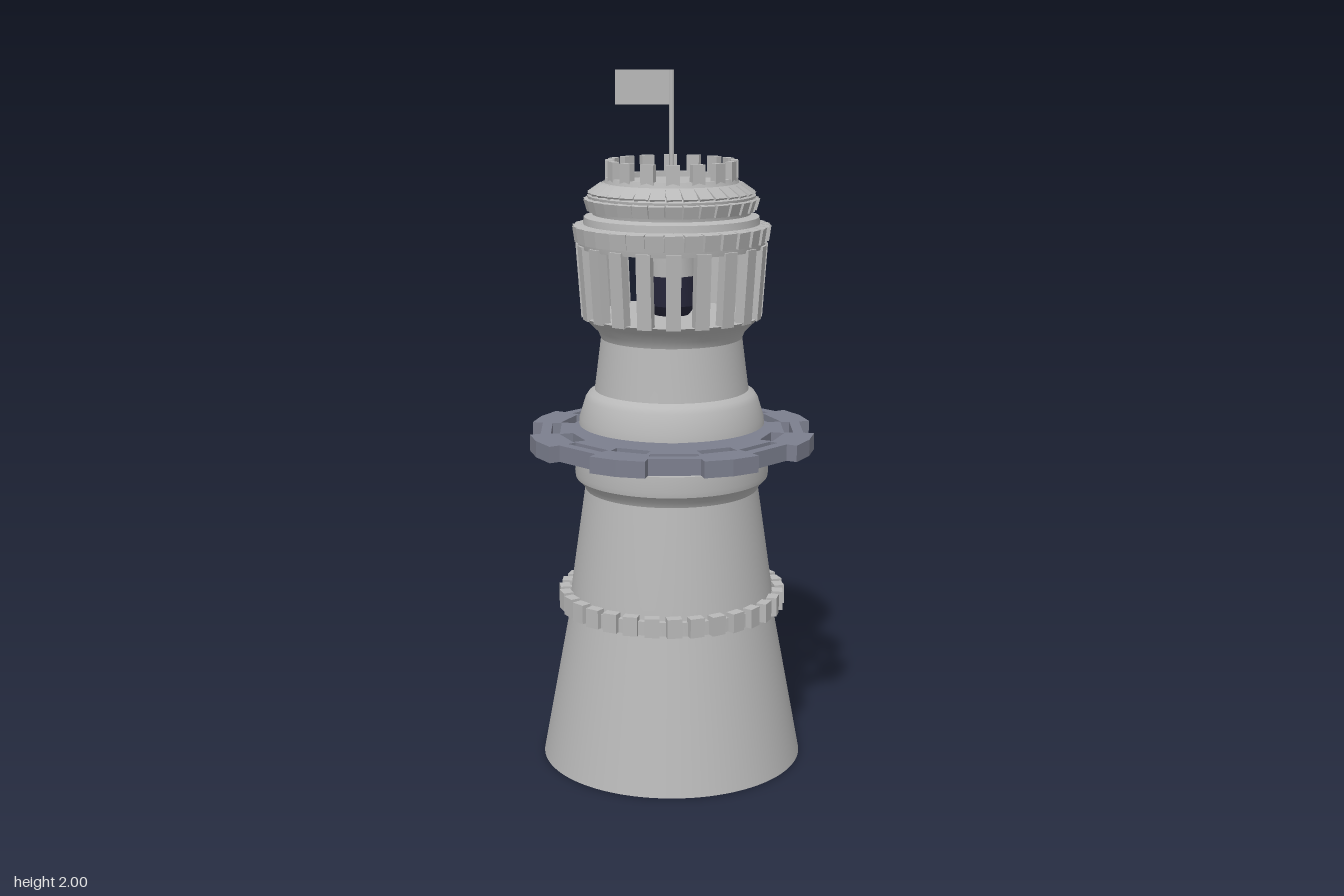
import * as THREE from 'three';
import { toCreasedNormals } from 'three/addons/utils/BufferGeometryUtils.js';

const mat = (name, color, extra = {}) => {
  const m = new THREE.MeshStandardMaterial({ color, ...extra });
  m.name = name;
  return m;
};

export function createModel() {
  const stone = mat('stone grey', 0xb8b8b8, { side: THREE.DoubleSide });
  const steel = mat('blue grey steel', 0x7c7f8e);
  const dark = mat('dark navy', 0x26263a);
  const root = new THREE.Group();
  root.name = 'tower';

  const add = (name, geo, material = stone, parent = root) => {
    const m = new THREE.Mesh(geo, material);
    m.name = name;
    parent.add(m);
    return m;
  };
  const lathe = (name, pts, material = stone, seg = 64) => add(name, toCreasedNormals(
    new THREE.LatheGeometry(pts.map(p => new THREE.Vector2(...p)), seg), 0.5), material);

  // Ring of n boxes; tilt leans them outward, yaw gives a saw-tooth edge
  const ring = (name, n, r, y, [w, h, d], { tilt = 0, yaw = 0, start = 0 } = {}) => {
    const g = new THREE.Group();
    g.name = name;
    const geo = new THREE.BoxGeometry(w, h, d);
    for (let i = 0; i < n; i++) {
      const a = start + i / n * Math.PI * 2;
      const m = add(name + 'Block', geo, stone, g);
      m.position.set(Math.sin(a) * r, y, Math.cos(a) * r);
      m.rotation.set(tilt, a + yaw, 0, 'YXZ');
    }
    root.add(g);
  };

  // Hollow base wall with an arched doorway at the back
  const doorHalf = y => y < 0.25 ? 0.32 - y * 0.12
    : y < 0.33 ? 0.29 - (y - 0.25) * 2.0
    : Math.max(0, 0.13 - (y - 0.33) * 4.3);
  const wall = new THREE.PlaneGeometry(1, 1, 96, 44);
  const p = wall.attributes.position;
  for (let i = 0; i < p.count; i++) {
    const y = (p.getY(i) + 0.5) * 0.47;
    const half = doorHalf(y);
    const a = Math.PI + 0.15 + half + (p.getX(i) + 0.5) * 2 * (Math.PI - half);
    const r = 0.38 - y * 0.185;
    p.setXYZ(i, Math.sin(a) * r, y, Math.cos(a) * r);
  }
  add('baseWall', toCreasedNormals(wall, 0.5));

  // Battlement ring around the middle
  lathe('middleLedge', [[0.28, 0.45], [0.312, 0.455], [0.312, 0.495], [0.28, 0.495]]);
  ring('middleBattlement', 32, 0.313, 0.482, [0.042, 0.055, 0.03], { yaw: 0.15 });

  // Lower drum
  lathe('lowerDrum', [[0.298, 0.47], [0.291, 0.53], [0.251, 0.81], [0.258, 0.825], [0.278, 0.845],
    [0.28, 0.86], [0.277, 0.905], [0, 0.905]]);

  // Waisted axle between the drums
  lathe('axle', [[0.1, 0.905], [0.095, 0.915], [0.065, 0.935], [0.06, 0.96], [0.065, 0.985],
    [0.1, 0.99], [0.1, 1.0]]);

  // Eight-toothed gear with two rows of openings
  const polar = (a, d, w) => new THREE.Vector2(
    Math.cos(a) * d - Math.sin(a) * w, Math.sin(a) * d + Math.cos(a) * w);
  const outline = [], holes = [], inner = [];
  for (let i = 0; i < 8; i++) {
    const a = i * Math.PI / 4, t = a + Math.PI / 8;
    outline.push(polar(a, 0.375, -0.072), polar(a, 0.375, 0.072), polar(a, 0.405, 0.08),
      polar(t, 0.416, 0), polar(a + Math.PI / 4, 0.405, -0.08));
    holes.push([polar(a, 0.346, -0.067), polar(a, 0.32, -0.066), polar(a, 0.32, 0.066), polar(a, 0.346, 0.067)]);
    holes.push([polar(t, 0.325, -0.053), polar(t, 0.286, -0.05), polar(t, 0.286, 0.05), polar(t, 0.325, 0.053)]);
    inner.push(polar(-a, 0.2, 0));
  }
  const gear = new THREE.Shape(outline);
  gear.holes = [...holes, inner].map(h => new THREE.Path(h));
  const gearGeo = new THREE.ExtrudeGeometry(gear, { depth: 0.047, bevelEnabled: false });
  gearGeo.rotateX(-Math.PI / 2).translate(0, 0.935, 0);
  add('gear', gearGeo, steel);

  // Upper drum flaring out to the gallery floor
  lathe('upperDrum', [[0, 1.0], [0.267, 1.0], [0.265, 1.02], [0.248, 1.075], [0.238, 1.09], [0.221, 1.1],
    [0.212, 1.17], [0.202, 1.25], [0.21, 1.27], [0.235, 1.295], [0.256, 1.315], [0.225, 1.315], [0, 1.315]]);

  // Open gallery pillars
  ring('galleryPillars', 20, 0.249, 1.415, [0.041, 0.21, 0.03], { tilt: 0.07 });

  // Lamp inside the gallery
  lathe('lampBase', [[0, 1.315], [0.05, 1.315], [0.072, 1.345], [0.075, 1.43], [0, 1.43]], dark, 16);
  lathe('lampHousing', [[0.075, 1.43], [0.078, 1.52]], stone, 16);

  // Tiered roof with overlapping tiles
  lathe('roofCore', [[0, 1.51], [0.264, 1.51], [0.268, 1.53], [0.272, 1.565], [0.25, 1.575], [0.248, 1.595],
    [0.224, 1.602], [0.226, 1.615], [0.236, 1.64], [0.238, 1.655], [0.215, 1.672], [0.19, 1.69],
    [0.185, 1.705], [0.165, 1.705], [0.165, 1.69], [0, 1.69]], stone, 32);
  ring('lowerRoofTiles', 32, 0.262, 1.55, [0.05, 0.045, 0.025], { tilt: 0.15, yaw: 0.12 });
  ring('middleRoofTiles', 32, 0.229, 1.632, [0.044, 0.035, 0.025], { tilt: 0.3, yaw: 0.12 });
  ring('upperRoofTiles', 32, 0.211, 1.668, [0.041, 0.02, 0.045], { tilt: 0.6, yaw: 0.1 });
  ring('topBattlement', 16, 0.176, 1.722, [0.038, 0.06, 0.02]);

  // Flag on its pole
  add('flagPole', new THREE.CylinderGeometry(0.007, 0.007, 0.31, 10).translate(0, 1.845, 0));
  add('flag', new THREE.BoxGeometry(0.155, 0.095, 0.004).translate(-0.08, 1.9525, 0));

  return root;
}
